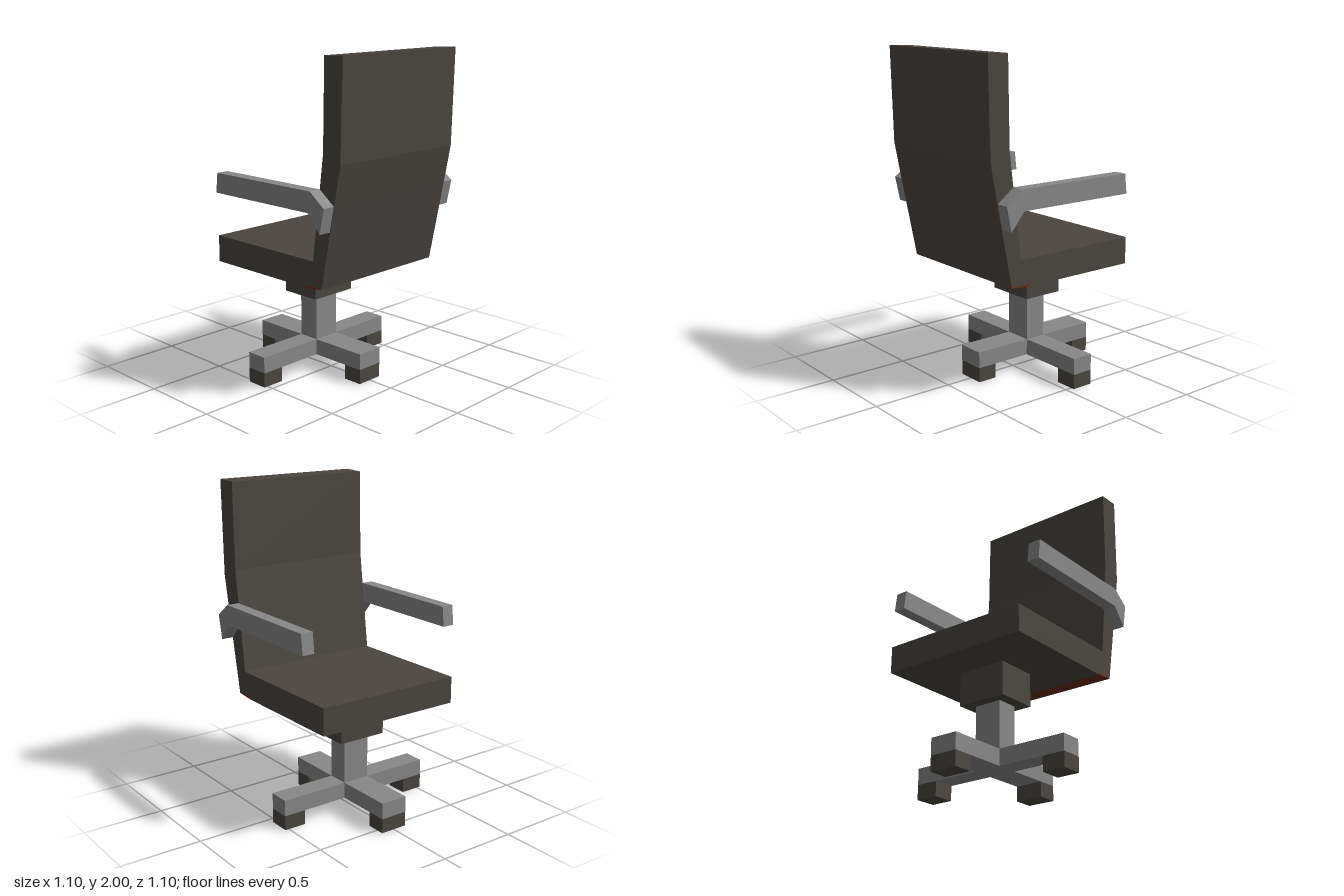
import * as THREE from 'three';

const material = (color) => new THREE.MeshStandardMaterial({ color, flatShading: true });

export function createModel() {
  const model = new THREE.Group();
  const upholstery = material(0x4a4540);
  const frame = material(0x888888);
  const trim = material(0x6b2c18);

  // Side profile of [z, y] points, extruded across x and centred on x
  function profilePart(name, points, width, x, mat) {
    const shape = new THREE.Shape(points.map(([z, y]) => new THREE.Vector2(z, y)));
    const geometry = new THREE.ExtrudeGeometry(shape, { depth: width, bevelEnabled: false });
    geometry.translate(0, 0, -width / 2).rotateY(-Math.PI / 2);
    const mesh = new THREE.Mesh(geometry, mat);
    mesh.name = name;
    mesh.position.x = x;
    model.add(mesh);
  }

  function box(name, [w, h, d], [x, y, z], mat) {
    const mesh = new THREE.Mesh(new THREE.BoxGeometry(w, h, d), mat);
    mesh.name = name;
    mesh.position.set(x, y, z);
    model.add(mesh);
  }

  // Seat and bent backrest in one piece
  profilePart('seatAndBackrest', [
    [-0.5, 0.685], [0.27, 0.685], [0.27, 0.7], [0.387, 0.7], [0.39, 0.695],
    [0.49, 1.19], [0.535, 1.42], [0.55, 2], [0.415, 1.995], [0.405, 1.47],
    [0.325, 0.85], [-0.5, 0.85],
  ], 0.948, 0, upholstery);

  // Coloured strip under the rear edge of the seat
  profilePart('rearUndersideStrip', [
    [0.27, 0.685], [0.39, 0.695], [0.387, 0.7], [0.27, 0.7],
  ], 0.948, 0, trim);

  // Armrests, bent down at the backrest
  for (const [name, side] of [['leftArmrest', 1], ['rightArmrest', -1]]) {
    profilePart(name, [
      [0.455, 1.04], [0.487, 1.19], [0.38, 1.27], [-0.403, 1.265],
      [-0.417, 1.143], [0.365, 1.147],
    ], 0.078, side * 0.513, frame);
  }

  // Pedestal
  const cz = -0.11;
  box('seatMount', [0.315, 0.205, 0.26], [0, 0.583, cz], upholstery);
  box('column', [0.175, 0.29, 0.135], [0, 0.335, cz], frame);

  // Four legs meeting under the column, each with a foot
  box('baseCore', [0.175, 0.1, 0.135], [0, 0.14, cz], frame);
  for (const s of [1, -1]) {
    box('sideLeg', [0.438, 0.1, 0.135], [s * 0.306, 0.14, cz], frame);
    box('sideFoot', [0.142, 0.09, 0.135], [s * 0.454, 0.045, cz], upholstery);
    box('lengthLeg', [0.175, 0.1, 0.372], [0, 0.14, cz + s * 0.2535], frame);
    box('lengthFoot', [0.175, 0.09, 0.122], [0, 0.045, cz + s * 0.378], upholstery);
  }
  return model;
}
